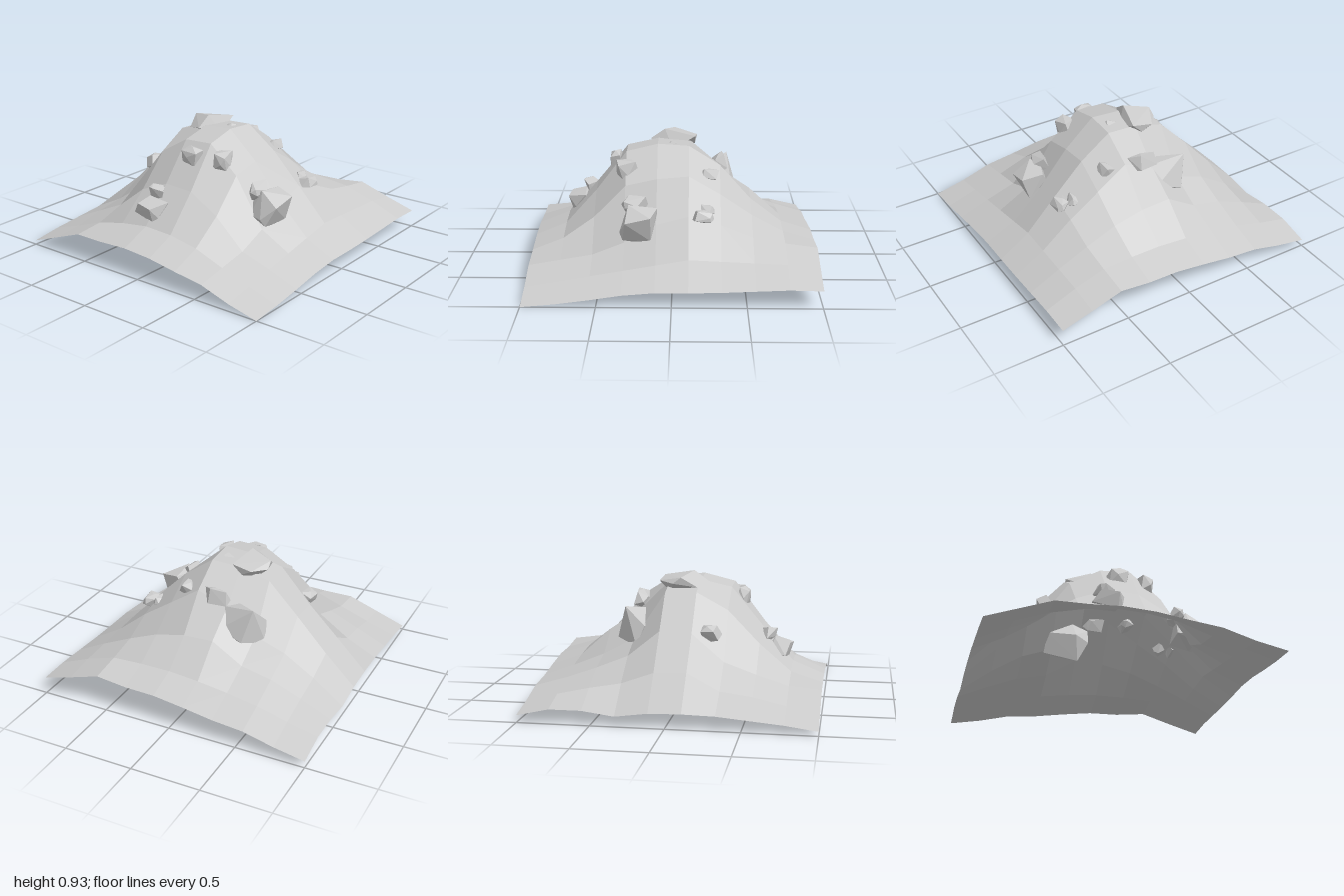
import * as THREE from 'three';
import { ConvexGeometry } from 'three/addons/geometries/ConvexGeometry.js';

// Hill heights on a 10 x 10 grid: rows run back to front, columns from -x to +x
const HEIGHTS = [
  [0.05, 0.09, 0.145, 0.165, 0.2, 0.23, 0.235, 0.26, 0.19, 0.125],
  [0.1, 0.15, 0.21, 0.25, 0.28, 0.3, 0.3, 0.29, 0.22, 0.13],
  [0.1, 0.2, 0.29, 0.34, 0.48, 0.47, 0.42, 0.33, 0.23, 0.12],
  [0.07, 0.24, 0.38, 0.46, 0.63, 0.72, 0.57, 0.42, 0.24, 0.11],
  [0.1, 0.32, 0.56, 0.79, 0.85, 0.86, 0.7, 0.48, 0.25, 0.105],
  [0.105, 0.33, 0.55, 0.8, 0.86, 0.875, 0.68, 0.42, 0.21, 0.105],
  [0.1, 0.21, 0.36, 0.68, 0.81, 0.82, 0.63, 0.29, 0.17, 0.085],
  [0.08, 0.18, 0.28, 0.45, 0.54, 0.53, 0.4, 0.2, 0.13, 0.05],
  [0.06, 0.13, 0.21, 0.26, 0.29, 0.28, 0.24, 0.16, 0.09, 0.02],
  [0.03, 0.11, 0.19, 0.19, 0.2, 0.185, 0.15, 0.12, 0.05, 0],
];

// Rocks: name, centre, size
const ROCKS = [
  ['summitRock', [-0.175, 0.84, 0], [0.25, 0.17, 0.34]],
  ['summitPebble', [0.025, 0.825, 0], [0.1, 0.11, 0.13]],
  ['backBoulder', [-0.23, 0.52, -0.33], [0.34, 0.34, 0.26]],
  ['backStone', [-0.03, 0.7, -0.33], [0.2, 0.14, 0.12]],
  ['frontStoneUpper', [0, 0.73, 0.41], [0.17, 0.14, 0.1]],
  ['frontStoneSide', [0.21, 0.71, 0.315], [0.12, 0.14, 0.17]],
  ['frontBoulder', [-0.135, 0.39, 0.69], [0.24, 0.15, 0.18]],
  ['frontBoulderCap', [-0.15, 0.49, 0.61], [0.15, 0.1, 0.12]],
  ['sideBoulder', [0.565, 0.425, 0.235], [0.22, 0.26, 0.26]],
  ['sideBoulderCap', [0.465, 0.53, 0.26], [0.14, 0.14, 0.19]],
  ['sideStone', [0.225, 0.68, -0.25], [0.11, 0.1, 0.15]],
  ['sidePebbleUpper', [0.48, 0.5, -0.24], [0.1, 0.09, 0.1]],
  ['sidePebbleLower', [0.57, 0.48, -0.21], [0.1, 0.1, 0.15]],
  ['farSideStone', [-0.495, 0.54, 0.24], [0.12, 0.12, 0.14]],
];

function seeded(seed) {
  let s = seed;
  return () => (s = (s * 16807) % 2147483647) / 2147483647;
}

// Flat grid lifted to the height table, each four-sided cell shaded as one facet
function hillGeometry() {
  const n = HEIGHTS.length;
  const grid = new THREE.PlaneGeometry(2, 2, n - 1, n - 1).rotateX(-Math.PI / 2);
  for (let i = 0; i < n * n; i++) grid.attributes.position.setY(i, HEIGHTS[Math.floor(i / n)][i % n]);
  const geo = grid.toNonIndexed();
  geo.computeVertexNormals();
  const normal = geo.attributes.normal;
  for (let i = 0; i < normal.count; i += 6) {
    const first = new THREE.Vector3().fromBufferAttribute(normal, i);
    const second = new THREE.Vector3().fromBufferAttribute(normal, i + 3);
    const mean = first.add(second).normalize();
    for (let k = i; k < i + 6; k++) normal.setXYZ(k, mean.x, mean.y, mean.z);
  }
  return geo;
}

// Angular stone: hull of a tilted block with uneven corners and blunt tips, fitted to a size
function rockGeometry(seed, size) {
  const rnd = seeded(seed);
  for (let i = 0; i < 5; i++) rnd();
  const tilt = new THREE.Euler(rnd() - 0.5, rnd() - 0.5, rnd() - 0.5);
  const uneven = () => 0.5 + 0.4 * rnd();
  const points = [];
  for (const x of [-1, 1])
    for (const y of [-1, 1])
      for (const z of [-1, 1]) points.push(new THREE.Vector3(x * uneven(), y * uneven(), z * uneven()));
  for (let axis = 0; axis < 3; axis++) {
    const tip = new THREE.Vector3(rnd() - 0.5, rnd() - 0.5, rnd() - 0.5);
    points.push(tip.setComponent(axis, rnd() < 0.5 ? -1 : 1));
  }
  points.forEach((p) => p.applyEuler(tilt));
  const geo = new ConvexGeometry(points);
  geo.center();
  const box = geo.boundingBox.getSize(new THREE.Vector3());
  geo.scale(size[0] / box.x, size[1] / box.y, size[2] / box.z);
  geo.computeVertexNormals();
  return geo;
}

export function createModel() {
  const model = new THREE.Group();
  model.name = 'rockyHill';

  const hill = new THREE.Mesh(
    hillGeometry(),
    new THREE.MeshStandardMaterial({ color: 0xcccccc, side: THREE.DoubleSide })
  );
  hill.name = 'hill';
  model.add(hill);

  const stone = new THREE.MeshStandardMaterial({ color: 0xcccccc, flatShading: true });
  const rocks = new THREE.Group();
  rocks.name = 'rocks';
  ROCKS.forEach(([name, centre, size], i) => {
    const rock = new THREE.Mesh(rockGeometry(4211 + i * 7919, size), stone);
    rock.name = name;
    rock.position.set(...centre);
    rocks.add(rock);
  });
  model.add(rocks);

  return model;
}
